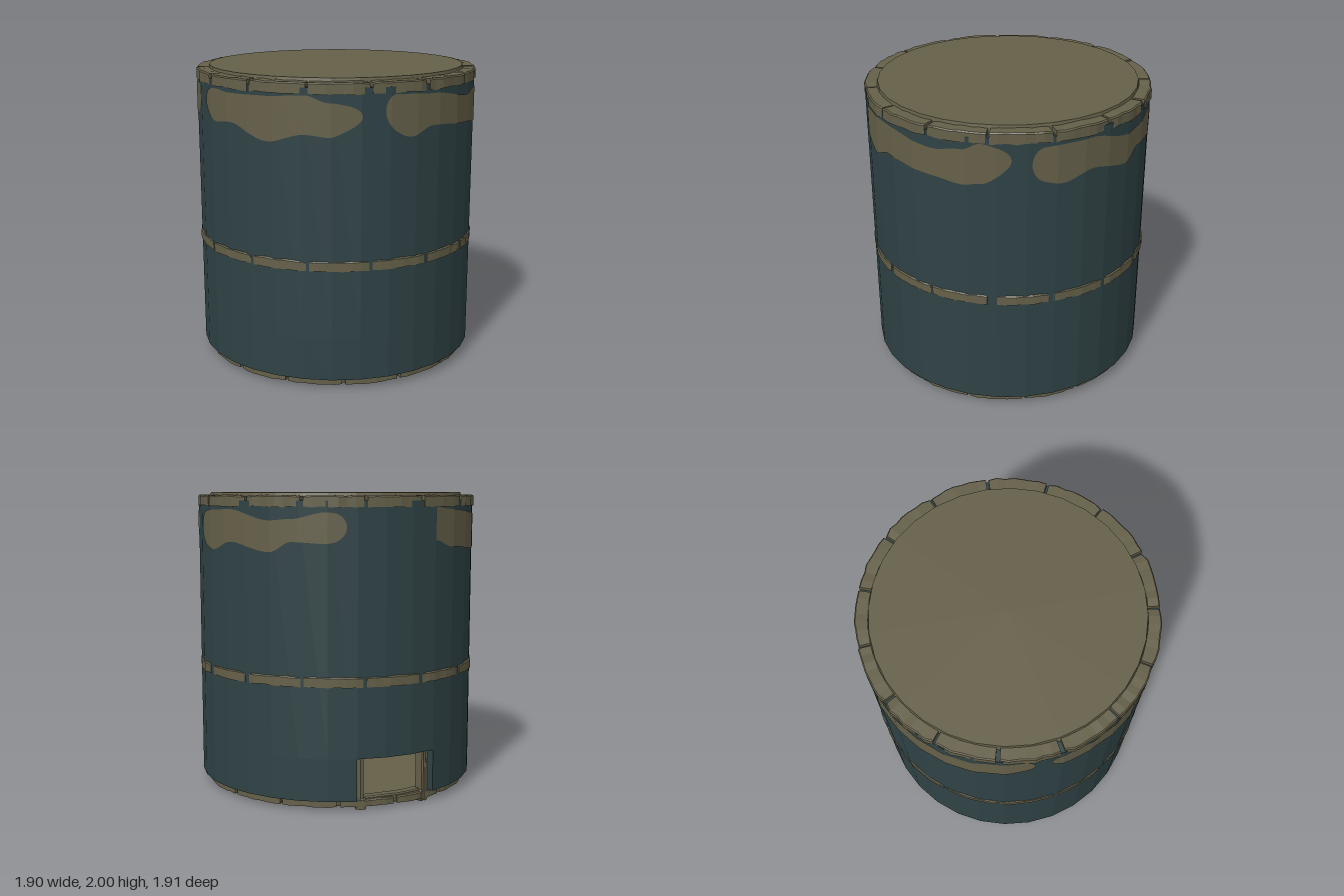
import * as THREE from 'three';

const SEG = 32, STEP = (Math.PI * 2) / SEG, RAD = Math.PI / 180;
const R_OUT = 0.945, R_IN = 0.82, DOOR_TOP = 0.345, SHELL_BASE = 0.07;
const DOOR_START = 12, DOOR_END = 15; // wall facets left open for the doorway

// Angle 0 faces the front (+z) and grows towards +x.
const polar = (r, a, y) => new THREE.Vector3(r * Math.sin(a), y, r * Math.cos(a));

// Distance from the axis to the flat-sided wall at a given angle.
function wallRadius(a) {
  const local = ((a % STEP) + STEP) % STEP - STEP / 2;
  return (R_OUT * Math.cos(STEP / 2)) / Math.cos(local);
}

function flatGeometry(points) {
  const g = new THREE.BufferGeometry().setFromPoints(points);
  g.computeVertexNormals();
  return g;
}

function makeRandom(seed) {
  return () => {
    seed = (seed * 16807) % 2147483647;
    return seed / 2147483647;
  };
}

// Wall section between two facet indices, extruded upwards.
function wallSection(from, to, y0, y1) {
  const at = (r, i) => new THREE.Vector2(r * Math.sin(i * STEP), -r * Math.cos(i * STEP));
  const outer = [], inner = [];
  for (let i = from; i <= to; i++) {
    outer.push(at(R_OUT, i));
    inner.push(at(R_IN, i));
  }
  let shape;
  if (to - from === SEG) {
    outer.pop();
    inner.pop();
    shape = new THREE.Shape(outer);
    shape.holes.push(new THREE.Path(inner.reverse()));
  } else {
    shape = new THREE.Shape([...outer, ...inner.reverse()]);
  }
  const g = new THREE.ExtrudeGeometry(shape, { depth: y1 - y0, bevelEnabled: false });
  return g.rotateX(-Math.PI / 2).translate(0, y0, 0);
}

// One rough curved block, swept from a chamfered cross-section.
function stoneGeometry(a0, a1, y0, y1, r0, r1, rand, rough) {
  const n = 7, b = 0.008, sections = [], tris = [];
  const j = () => (rand() - 0.5) * 2 * rough;
  for (let i = 0; i <= n; i++) {
    const end = i === 0 || i === n ? 0.005 : 0;
    const a = a0 + ((a1 - a0) * i) / n;
    const r = r1 + j() - end, top = y1 + j() * 0.6 - end * 0.5, low = y0 + j() * 0.8;
    sections.push([[r0, low], [r, low], [r, top - b], [r - b, top], [r0, top]]
      .map(([pr, py]) => polar(pr, a, py)));
  }
  for (let i = 0; i < n; i++) {
    const A = sections[i], B = sections[i + 1];
    for (let k = 0; k < 5; k++) {
      const m = (k + 1) % 5;
      tris.push(A[k], B[k], B[m], A[k], B[m], A[m]);
    }
  }
  const S = sections[0], E = sections[n];
  for (let k = 1; k < 4; k++) tris.push(S[0], S[k], S[k + 1], E[0], E[k + 1], E[k]);
  return flatGeometry(tris);
}

// Ring of blocks separated by narrow gaps.
function stoneRing(name, material, o) {
  const ring = new THREE.Group(), rand = makeRandom(o.seed), count = 15;
  ring.name = name;
  const pitch = 360 / count;
  for (let i = 0; i < count; i++) {
    const a0 = o.offset + i * pitch + 0.4 + rand() * 0.5;
    const a1 = o.offset + (i + 1) * pitch - 0.4 - rand() * 0.5;
    const g = stoneGeometry(a0 * RAD, a1 * RAD, o.y0, o.y1, o.r0, o.r1, rand, o.rough);
    const stone = new THREE.Mesh(g, material);
    stone.name = name + 'Stone';
    ring.add(stone);
  }
  return ring;
}

// Worn patch hugging the wall; knots are [degrees, bottom, top], ends are rounded.
function patchGeometry(knots, squareStart) {
  const grid = 0.625, round = 5;
  const first = knots[0][0], last = knots[knots.length - 1][0];
  const angles = [first];
  for (let k = Math.floor(first / grid) + 1; k * grid < last; k++) angles.push(k * grid);
  angles.push(last);
  const columns = angles.map((deg) => {
    let i = 0;
    while (i < knots.length - 2 && deg > knots[i + 1][0]) i++;
    const [p, q] = [knots[i], knots[i + 1]];
    const t = THREE.MathUtils.smoothstep(deg, p[0], q[0]);
    const low = THREE.MathUtils.lerp(p[1], q[1], t), top = THREE.MathUtils.lerp(p[2], q[2], t);
    const fromEnd = Math.min(squareStart ? round : deg - first, last - deg, round) / round;
    const half = ((top - low) / 2) * Math.sqrt(1 - (1 - fromEnd) ** 2), mid = (low + top) / 2;
    const a = deg * RAD, r = wallRadius(a) + 0.004;
    return [polar(r, a, mid - half), polar(r, a, mid + half)];
  });
  const tris = [];
  for (let i = 0; i < columns.length - 1; i++) {
    const [al, at] = columns[i], [bl, bt] = columns[i + 1];
    tris.push(al, bl, bt, al, bt, at);
  }
  return flatGeometry(tris);
}

export function createModel() {
  const model = new THREE.Group();
  const teal = new THREE.MeshStandardMaterial({ color: 0x2f4245 });
  teal.name = 'dark teal plaster';
  const tan = new THREE.MeshStandardMaterial({ color: 0x656049 });
  tan.name = 'olive tan stone';

  const add = (name, geometry, material) => {
    const mesh = new THREE.Mesh(geometry, material);
    mesh.name = name;
    model.add(mesh);
  };

  // Hollow wall, with the doorway left out of the lower course
  add('upperWall', wallSection(0, SEG, DOOR_TOP, 1.95), teal);
  add('lowerWall', wallSection(DOOR_END, SEG + DOOR_START, SHELL_BASE, DOOR_TOP), teal);

  // Roof lid and floor slab
  const disc = (rTop, rLow, y0, y1) => {
    const g = new THREE.CylinderGeometry(rTop, rLow, y1 - y0, SEG).translate(0, (y0 + y1) / 2, 0).toNonIndexed();
    g.computeVertexNormals();
    return g;
  };
  add('roofLid', disc(0.862, 0.882, 1.9, 2.0), tan);
  add('floorSlab', disc(0.885, 0.875, 0.022, SHELL_BASE - 0.001), tan);

  // Stone rings
  model.add(
    stoneRing('topRing', tan, { offset: 18, y0: 1.912, y1: 1.982, r0: 0.865, r1: 0.948, rough: 0.006, seed: 11 }),
    stoneRing('middleBand', tan, { offset: 18, y0: 0.803, y1: 0.867, r0: 0.9, r1: 0.95, rough: 0.004, seed: 29 }),
    stoneRing('baseRing', tan, { offset: 8, y0: 0.022, y1: 0.069, r0: 0.87, r1: 0.906, rough: 0.004, seed: 47 }),
  );

  // Worn patches below the top ring
  add('frontPatch', patchGeometry([[-24.6, 1.7, 1.91], [-14, 1.635, 1.9], [-3.4, 1.69, 1.89],
    [20, 1.66, 1.84], [32, 1.635, 1.865], [39, 1.65, 1.91], [50.6, 1.74, 1.87]]), tan);
  add('leftPatch', patchGeometry([[58, 1.67, 1.88], [70, 1.635, 1.89], [82, 1.69, 1.895],
    [101, 1.635, 1.83], [110, 1.7, 1.84], [123, 1.69, 1.88], [131, 1.71, 1.87]]), tan);
  add('backPatch', patchGeometry([[168.75, 1.7, 1.91], [179, 1.655, 1.895], [200, 1.63, 1.87],
    [219, 1.632, 1.845], [236, 1.664, 1.89], [248, 1.73, 1.91]], true), tan);
  add('rightPatch', patchGeometry([[254, 1.73, 1.88], [263, 1.685, 1.895], [272, 1.7, 1.885],
    [290, 1.61, 1.89], [305, 1.665, 1.905], [314, 1.65, 1.86], [326.6, 1.72, 1.83]]), tan);

  // Door posts with feet against both jambs, and the threshold between them
  const rand = makeRandom(71);
  for (const [jamb, side] of [[DOOR_START * STEP, 1], [DOOR_END * STEP, -1]]) {
    const span = (w) => [jamb, jamb + side * w].sort((p, q) => p - q);
    add('doorPost', stoneGeometry(...span(0.055), 0.03, DOOR_TOP - 0.004, 0.835, 0.9, rand, 0.003), tan);
    add('doorPostFoot', stoneGeometry(...span(0.075), 0.003, 0.075, 0.85, 0.905, rand, 0.003), tan);
  }
  add('threshold', stoneGeometry(DOOR_START * STEP, DOOR_END * STEP, 0.03, 0.08, 0.82, 0.88, rand, 0.003), tan);

  return model;
}
